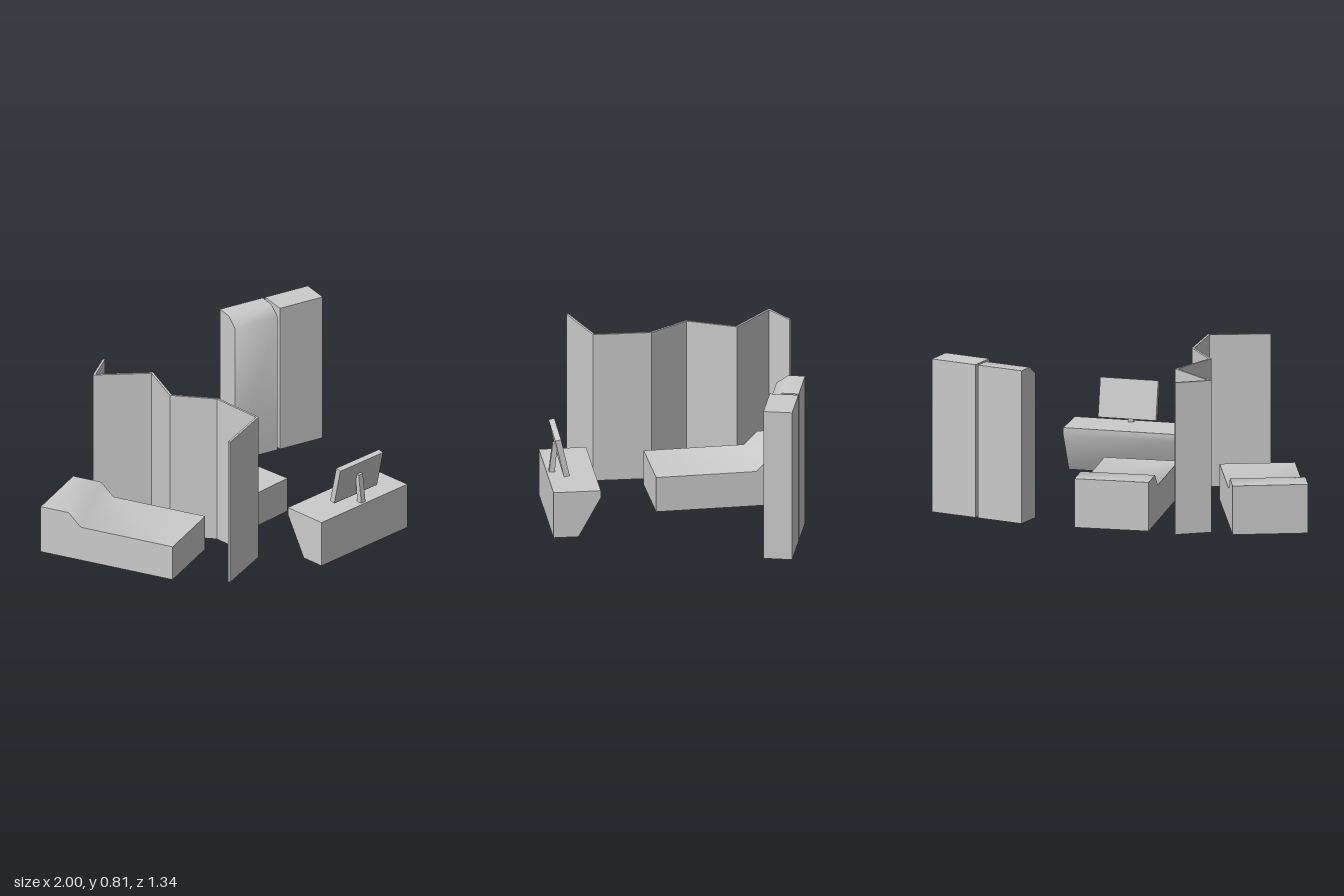
import * as THREE from 'three';
import { toCreasedNormals } from 'three/addons/utils/BufferGeometryUtils.js';

const material = new THREE.MeshStandardMaterial({ color: 0xcccccc });

// Side profile of [z, y] points, extruded across x and centred on x
function profileGeometry(points, width) {
  const shape = new THREE.Shape(points.map(([z, y]) => new THREE.Vector2(z, y)));
  const geo = new THREE.ExtrudeGeometry(shape, { depth: width, bevelEnabled: false });
  geo.rotateY(-Math.PI / 2).translate(width / 2, 0, 0);
  return toCreasedNormals(geo, 1);
}

// Standing wall that follows a folded line of [x, z] points, with mitred corners
function foldedWall(points, thickness, height) {
  const pts = points.map(([x, z]) => new THREE.Vector2(x, -z));
  const left = [], right = [];
  const normal = (a, b) => new THREE.Vector2(a.y - b.y, b.x - a.x).normalize();
  pts.forEach((p, i) => {
    const n1 = i > 0 ? normal(pts[i - 1], p) : normal(p, pts[i + 1]);
    const n2 = i < pts.length - 1 ? normal(p, pts[i + 1]) : n1;
    const mitre = n1.clone().add(n2).normalize();
    mitre.multiplyScalar(thickness / 2 / mitre.dot(n1));
    left.push(p.clone().add(mitre));
    right.unshift(p.clone().sub(mitre));
  });
  const geo = new THREE.ExtrudeGeometry(new THREE.Shape([...left, ...right]), { depth: height, bevelEnabled: false });
  return geo.rotateX(-Math.PI / 2);
}

export function createModel() {
  const model = new THREE.Group();
  model.name = 'roomFurniture';
  const add = (name, geo, x = 0, y = 0, z = 0, turn = 0, tilt = 0) => {
    const mesh = new THREE.Mesh(geo, material);
    mesh.name = name;
    mesh.position.set(x, y, z);
    mesh.rotation.set(tilt, turn, 0);
    model.add(mesh);
  };

  // Two beds with a raised pillow end at the back
  const bed = profileGeometry([
    [-0.378, 0], [0.378, 0], [0.378, 0.19], [-0.148, 0.19], [-0.218, 0.26], [-0.378, 0.26],
  ], 0.392);
  add('rightBed', bed, -0.685, 0, -0.176, 0.35);
  add('leftBed', bed, 0.025, 0, -0.27, 0.053);

  // Folding screen between the beds
  add('foldingScreen', foldedWall([
    [-0.34, -0.667], [-0.5, -0.575], [-0.272, -0.38], [-0.384, -0.13],
    [-0.241, 0.07], [-0.244, 0.367], [-0.55, 0.47],
  ], 0.012, 0.81));

  // Pair of wardrobes, one with a sloped front top edge
  const w = 0.257, d = 0.075, h = 0.815;
  add('slopedWardrobe', profileGeometry([
    [-d, 0], [d, 0], [d, 0.77], [d - 0.062, h], [-d, h],
  ], w), 0.5925, 0, -0.5475, -0.24);
  add('plainWardrobe', new THREE.BoxGeometry(w, h, 2 * d), 0.857, h / 2, -0.4825, -0.24);

  // Desk with an undercut back
  add('desk', profileGeometry([
    [-0.005, 0], [0.125, 0], [0.125, 0.25], [-0.121, 0.25], [-0.121, 0.21],
  ], 0.628), 0.235, 0, 0.544, 0.009);

  // Tilted monitor and its stand
  add('monitorPanel', new THREE.BoxGeometry(0.31, 0.208, 0.031), 0.245, 0.379, 0.6025, 0, 0.22);
  add('monitorStand', profileGeometry([
    [0.627, 0.245], [0.657, 0.245], [0.637, 0.405], [0.612, 0.41],
  ], 0.03), 0.241);

  return model;
}
